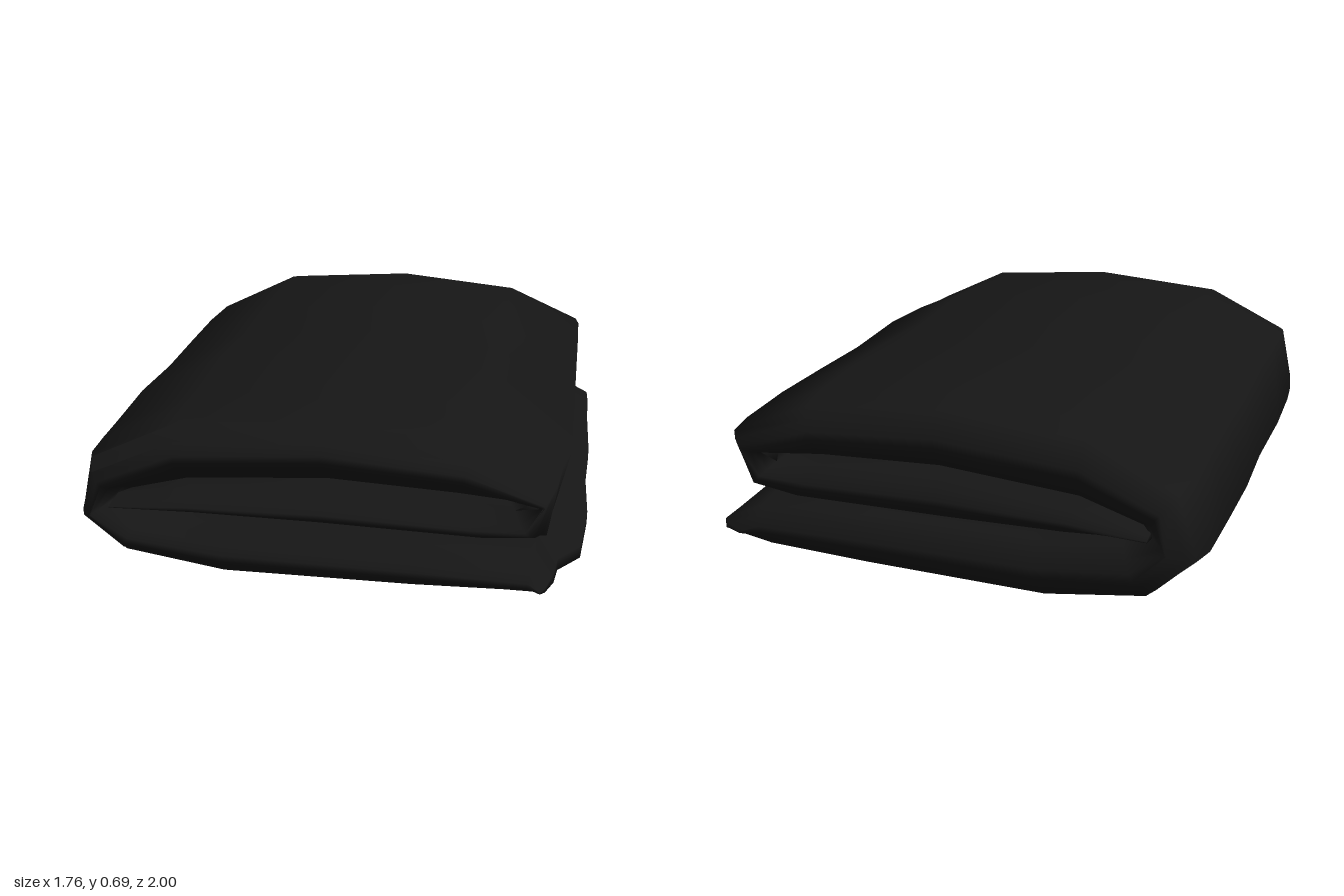
import * as THREE from 'three';

// Fold profile seen from the front: [outer x, outer y, inner x, inner y]
const FOLD = [
  [0.88, 0.07, 0.88, 0.12], [0.68, 0.02, 0.71, 0.225], [0.3, 0.005, 0.3, 0.255],
  [-0.35, 0, -0.3, 0.27], [-0.7, 0.065, -0.6, 0.3], [-0.88, 0.25, -0.69, 0.32],
  [-0.8, 0.5, -0.66, 0.35], [-0.48, 0.66, -0.46, 0.41], [0.02, 0.695, 0.02, 0.445],
  [0.51, 0.645, 0.45, 0.425], [0.81, 0.5, 0.68, 0.41], [0.75, 0.275, 0.62, 0.41],
  [0.58, 0.245, 0.45, 0.425], [0, 0.255, 0.02, 0.447], [-0.4, 0.275, -0.46, 0.414],
  [-0.7, 0.31, -0.7, 0.35],
];

// Stations along the depth: [z, thickness factor, x min, x max, lift of the underside, top scale]
const STATIONS = [
  [-1, 0.12, -0.76, 0.78, 0.03, 0.98], [-0.98, 0.45, -0.82, 0.83, 0.04, 0.98],
  [-0.95, 0.78, -0.85, 0.865, 0.03, 0.985], [-0.85, 0.97, -0.87, 0.87, 0.02, 0.985],
  [-0.6, 1, -0.88, 0.87, 0.03, 1], [-0.3, 1, -0.88, 0.88, 0, 0.99],
  [0, 1, -0.87, 0.87, 0.005, 0.975], [0.33, 1, -0.88, 0.88, 0.015, 1],
  [0.62, 1, -0.87, 0.86, 0.025, 0.965], [0.75, 0.98, -0.86, 0.785, 0.04, 0.96],
  [0.87, 0.92, -0.84, 0.775, 0.055, 0.96], [0.9, 0.7, -0.83, 0.77, 0.06, 0.97],
  [0.97, 0.35, -0.8, 0.75, 0.06, 0.97], [0.995, 0.1, -0.77, 0.735, 0.06, 0.97],
];

// One point of the fold; side 1 is outer, -1 is inner, grow pushes it off the surface
function foldPoint([ox, oy, ix, iy], [z, f, xMin, xMax, lift, top], side, grow = 0) {
  const half = side * (f / 2 + grow);
  const x = (ox + ix) / 2 + (ox - ix) * half;
  const y = ((oy + iy) / 2 + (oy - iy) * half) * top;
  return [THREE.MathUtils.clamp(x, xMin, xMax), y + lift * Math.max(0, 1 - y / 0.4), z];
}

function surface(positions, indices) {
  const geometry = new THREE.BufferGeometry();
  geometry.setAttribute('position', new THREE.Float32BufferAttribute(positions, 3));
  geometry.setIndex(indices);
  geometry.computeVertexNormals();
  return geometry;
}

// Cloth: closed fold outline lofted along z, softened and capped at both ends
function clothGeometry() {
  const n = FOLD.length, ring = n * 2, last = (STATIONS.length - 1) * ring;
  const positions = [], indices = [];
  for (const s of STATIONS) {
    for (const p of FOLD) positions.push(...foldPoint(p, s, 1));
    for (const p of [...FOLD].reverse()) positions.push(...foldPoint(p, s, -1));
  }
  for (let k = 0; k < last; k += ring) {
    for (let i = 0; i < ring; i++) {
      const a = k + i, b = k + (i + 1) % ring, c = b + ring, d = a + ring;
      indices.push(a, c, b, a, d, c);
    }
  }
  for (let i = 0; i < n - 1; i++) {
    const o = i, o2 = i + 1, q = ring - 1 - i, q2 = q - 1;
    indices.push(last + o, last + q, last + q2, last + o, last + q2, last + o2);
    indices.push(o, q2, q, o, o2, q2);
  }
  return surface(positions, indices);
}

// Hem: narrow band lying on the front bevel of the top layer
function hemGeometry() {
  const spans = FOLD.slice(6, 10), positions = [], indices = [];
  for (const s of STATIONS.slice(-3, -1)) {
    for (const p of spans) positions.push(...foldPoint(p, s, 1, 0.04));
  }
  const n = spans.length;
  for (let a = 0; a < n - 1; a++) {
    const b = a + 1, c = b + n, d = a + n;
    indices.push(a, c, b, a, d, c);
  }
  return surface(positions, indices);
}

export function createModel() {
  const group = new THREE.Group();
  group.name = 'foldedCloth';
  const material = new THREE.MeshStandardMaterial({ color: 0x161616, side: THREE.DoubleSide });

  const cloth = new THREE.Mesh(clothGeometry(), material);
  cloth.name = 'cloth';

  const hem = new THREE.Mesh(hemGeometry(), material);
  hem.name = 'frontHem';

  group.add(cloth, hem);
  return group;
}
